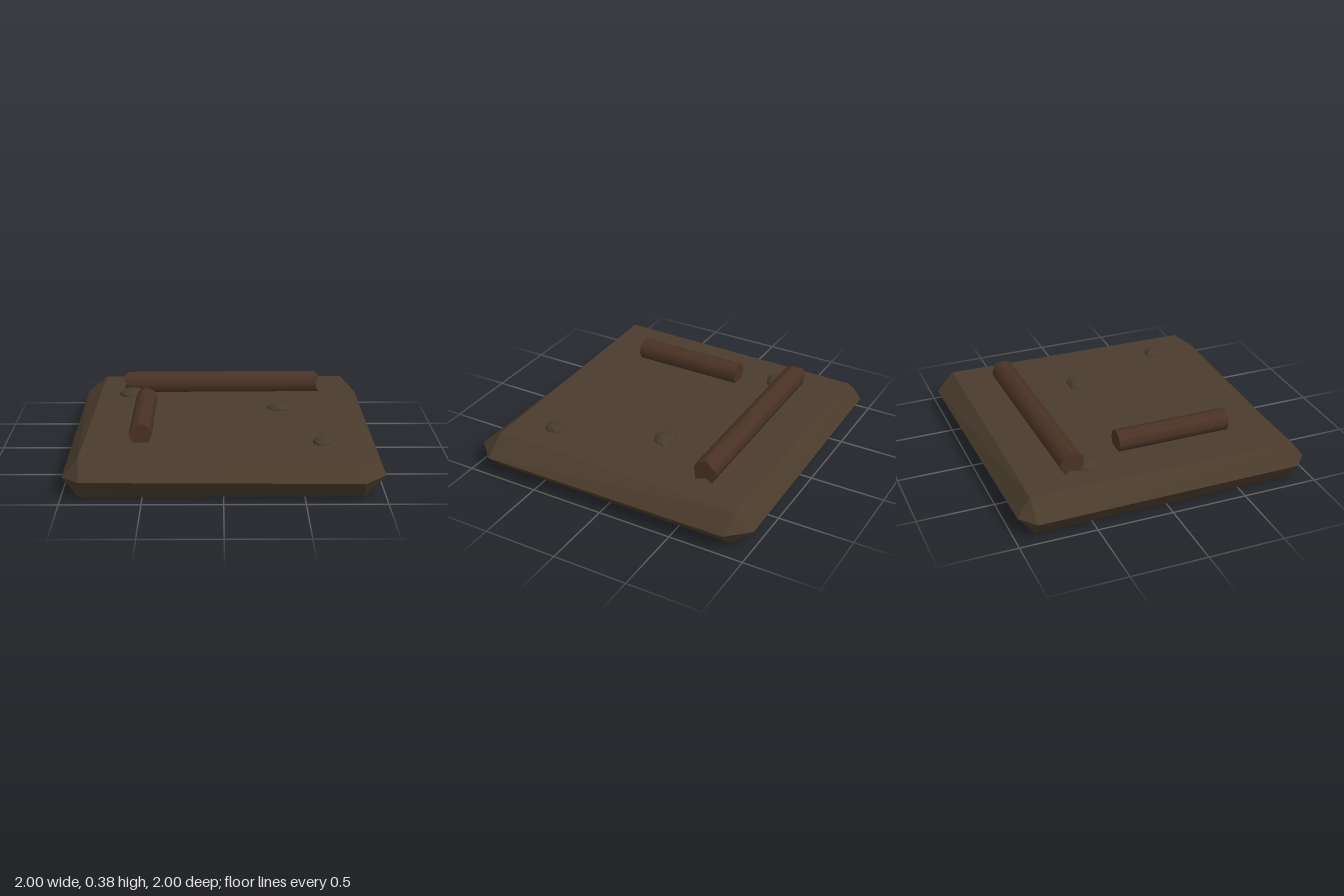
import * as THREE from 'three';

const slabMat = new THREE.MeshStandardMaterial({ color: 0x4a3b2c, flatShading: true });
const logMat = new THREE.MeshStandardMaterial({ color: 0x4a3225 });
const stoneMat = new THREE.MeshStandardMaterial({ color: 0x483a2d, flatShading: true });

// Skin a stack of equal-length [x, z] rings, bottom to top, and cap both ends
function loft(rings, heights) {
  const n = rings[0].length;
  const pos = rings.flatMap((ring, i) => ring.flatMap(([x, z]) => [x, heights[i], z]));
  const index = [];
  for (let i = 0; i < rings.length - 1; i++) {
    for (let j = 0; j < n; j++) {
      const a = i * n + j, b = i * n + (j + 1) % n;
      index.push(a, a + n, b, b, a + n, b + n);
    }
  }
  const last = (rings.length - 1) * n;
  for (let j = 1; j < n - 1; j++) {
    index.push(0, j, j + 1, last, last + j + 1, last + j);
  }
  const geo = new THREE.BufferGeometry();
  geo.setAttribute('position', new THREE.Float32BufferAttribute(pos, 3));
  geo.setIndex(index);
  const flat = geo.toNonIndexed();
  flat.computeVertexNormals();
  return flat;
}

// Eight-sided log along y; alternate rim corners stand out by `ragged`
function makeLog(radius, length, ragged) {
  const geo = new THREE.CylinderGeometry(radius, radius, length, 8);
  const p = geo.attributes.position;
  for (let i = 0; i < p.count; i++) {
    const x = p.getX(i), y = p.getY(i), z = p.getZ(i);
    const rim = Math.hypot(x, z) > 0.001;
    const shift = rim ? -ragged * Math.cos(4 * Math.atan2(z, x)) : -2 * ragged;
    p.setY(i, y + Math.sign(y) * shift);
  }
  return geo;
}

// Low rough stone, with a dent in its back edge
function makeStone(rx, ry, rz, seed) {
  const geo = new THREE.IcosahedronGeometry(1, 1);
  const p = geo.attributes.position;
  const v = new THREE.Vector3();
  for (let i = 0; i < p.count; i++) {
    v.fromBufferAttribute(p, i);
    const bump = 0.94 + 0.07 * Math.sin(4 * v.x + seed) * Math.cos(3 * v.z - seed);
    const dent = v.z < -0.8 && Math.abs(v.x) < 0.3 ? 0.78 : 1;
    v.multiplyScalar(bump * dent);
    p.setXYZ(i, v.x * rx, v.y * ry, v.z * rz);
  }
  geo.computeVertexNormals();
  return geo;
}

export function createModel() {
  const group = new THREE.Group();
  const add = (name, geo, mat, x = 0, y = 0, z = 0) => {
    const mesh = new THREE.Mesh(geo, mat);
    mesh.name = name;
    mesh.position.set(x, y, z);
    group.add(mesh);
    return mesh;
  };

  // Slightly crooked ground slab, bevelled to a sharp middle edge with cut corners
  const twice = (corners) => corners.flatMap((c) => [c, c]);
  const bottom = twice([[-0.89, -0.86], [0.87, -0.86], [0.87, 0.87], [-0.89, 0.88]]);
  const middle = [[-1, -0.88], [-0.89, -0.97], [0.86, -1], [0.99, -0.86],
    [1, 0.85], [0.86, 0.995], [-0.88, 0.97], [-0.99, 0.88]];
  const top = twice([[-0.86, -0.88], [0.88, -0.88], [0.85, 0.85], [-0.89, 0.88]]);
  add('groundSlab', loft([bottom, middle, top], [0.005, 0.135, 0.25]), slabMat);

  // Fallen logs
  const longLog = makeLog(0.08, 1.365, 0.015).rotateZ(Math.PI / 2).rotateY(0.015);
  add('longLog', longLog, logMat, -0.01, 0.305, -0.555);
  const shortLog = makeLog(0.073, 0.765, 0).rotateX(Math.PI / 2);
  add('shortLog', shortLog, logMat, -0.525, 0.302, 0.19);

  // Half-buried stones
  [[-0.64, -0.44, 0.095, 0.085, 0.055],
    [0.385, -0.12, 0.095, 0.078, 0.04],
    [0.63, 0.57, 0.07, 0.078, 0.042]].forEach(([x, z, rx, rz, ry], i) =>
    add('stone' + (i + 1), makeStone(rx, ry, rz, i * 1.7), stoneMat, x, 0.247, z));

  return group;
}
